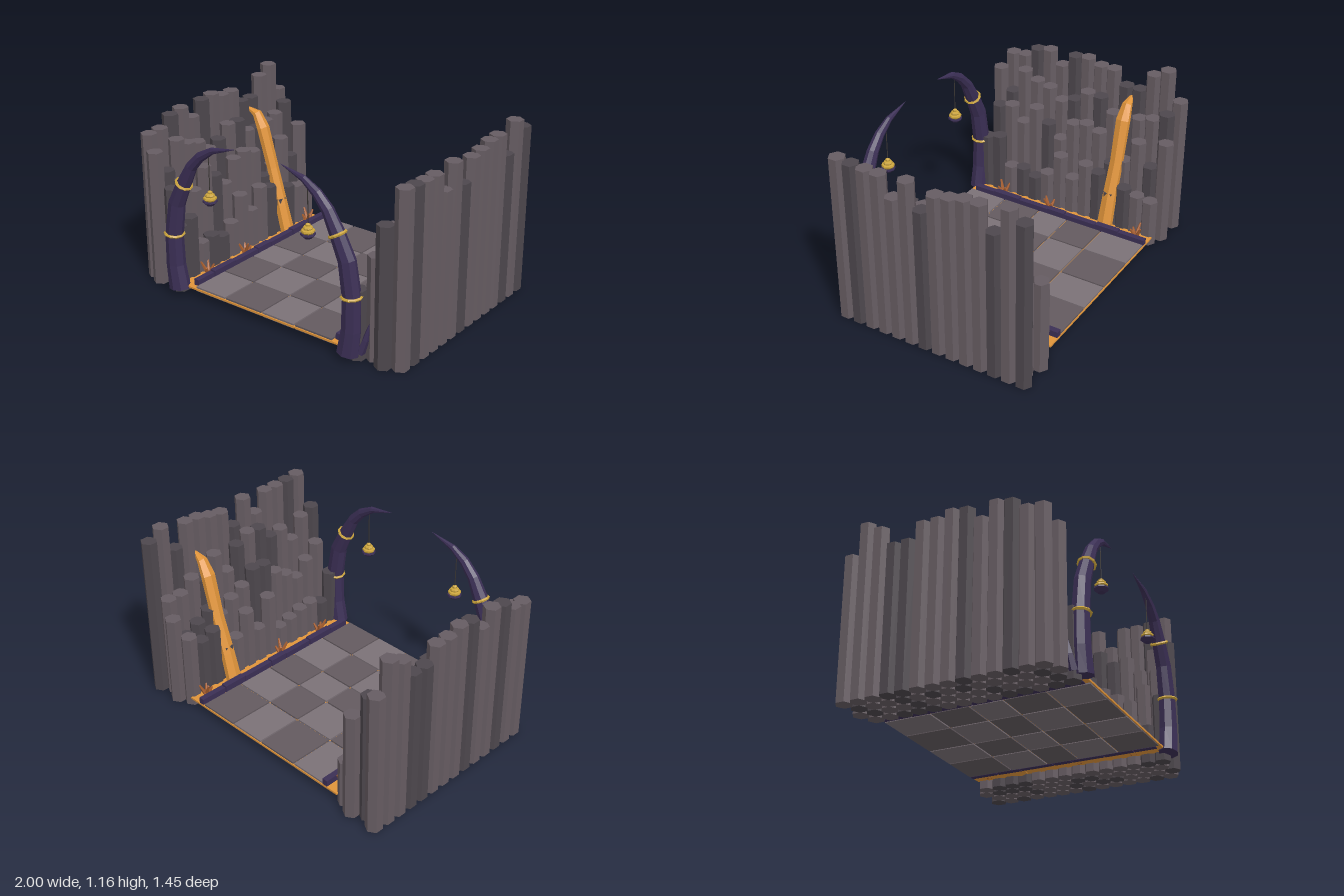
import * as THREE from 'three';

const mat = (color, extra = {}) => new THREE.MeshStandardMaterial({ color, flatShading: true, ...extra });

// Small seeded random generator
function seeded(seed) {
  let s = seed;
  return (a, b) => {
    s = (s * 16807) % 2147483647;
    return a + (b - a) * (s / 2147483647);
  };
}

// Sweep an ellipse along stations [x, y, z, radius in the xy plane, radius along z]
function sweep(stations, sides) {
  const pos = [], idx = [], Z = new THREE.Vector3(0, 0, 1);
  const pts = stations.map(s => new THREE.Vector3(s[0], s[1], s[2]));
  const last = pts.length - 1;
  pts.forEach((c, i) => {
    const t = pts[Math.min(i + 1, last)].clone().sub(pts[Math.max(i - 1, 0)]).setZ(0).normalize();
    const n = new THREE.Vector3().crossVectors(Z, t);
    for (let j = 0; j < sides; j++) {
      const a = (j / sides) * Math.PI * 2;
      const p = c.clone().addScaledVector(n, Math.cos(a) * stations[i][3]).addScaledVector(Z, Math.sin(a) * stations[i][4]);
      pos.push(p.x, p.y, p.z);
    }
  });
  const start = pos.length / 3, end = start + 1;
  pos.push(...pts[0].toArray(), ...pts[last].toArray());
  for (let j = 0; j < sides; j++) {
    const k = (j + 1) % sides;
    for (let i = 0; i < last; i++) {
      const a = i * sides + j, b = i * sides + k;
      idx.push(a, b, a + sides, b, b + sides, a + sides);
    }
    idx.push(start, k, j, end, last * sides + j, last * sides + k);
  }
  const g = new THREE.BufferGeometry();
  g.setAttribute('position', new THREE.Float32BufferAttribute(pos, 3));
  g.setIndex(idx);
  g.computeVertexNormals();
  return g;
}

export function createModel() {
  const root = new THREE.Group();
  const rand = seeded(4711);
  const M = {
    rock: mat(0x665c62), rockDark: mat(0x4d474d), tile: mat(0x7b7177), tileDark: mat(0x635a5f),
    purple: mat(0x3b2f55), gold: mat(0xcba43c), orange: mat(0xe0943a), ember: mat(0xa85f30), cord: mat(0x3a3634),
  };
  const add = (name, geo, material, x = 0, y = 0, z = 0, parent = root) => {
    const m = new THREE.Mesh(geo, material);
    m.name = name;
    m.position.set(x, y, z);
    parent.add(m);
    return m;
  };
  const box = (name, x0, x1, y0, y1, z0, z1, material, parent) =>
    add(name, new THREE.BoxGeometry(x1 - x0, y1 - y0, z1 - z0), material,
      (x0 + x1) / 2, (y0 + y1) / 2, (z0 + z1) / 2, parent);

  // Floor: glowing plate with stone tiles around it
  box('floorPlate', -0.655, 0.655, 0.054, 0.066, -0.67, 0.652, M.orange);
  const tiles = new THREE.Group();
  tiles.name = 'floorTiles';
  root.add(tiles);
  const tx = [-0.535, -0.29, 0, 0.25, 0.53], tz = [-0.67, -0.36, -0.105, 0.11, 0.38, 0.65], gap = 0.005;
  for (let i = 0; i < 4; i++) for (let j = 0; j < 5; j++)
    box('tile', tx[i] + gap, tx[i + 1] - gap, 0.046, 0.077, tz[j] + gap, tz[j + 1] - gap,
      (i + j) % 2 ? M.tileDark : M.tile, tiles);

  // Stepped walls of hexagonal stone columns, rows listed from the outside in
  const R = 0.0535, pitch = 0.095;
  const rightOuter = [1.095, 1.16, 0.975, 1.125, 1.12, 1.095, 1.08, 0.95, 1.11, 0.97, 1.095, 1.095, 1.1, 1.11];
  const rows = [
    { x: 0.9535, z: -0.67, low: 0.93, high: 1.1, cap: 0.95 },
    { x: 0.8655, z: -0.625, low: 0.7, high: 0.92, cap: 0.77 },
    { x: 0.7775, z: -0.67, low: 0.44, high: 0.72, cap: 0.56 },
    { x: 0.6895, z: -0.625, low: 0.22, high: 0.53, cap: 0.3 },
  ];
  for (const side of [-1, 1]) {
    const label = side > 0 ? 'left' : 'right';
    const wall = new THREE.Group();
    wall.name = label + 'ColumnWall';
    root.add(wall);
    rows.forEach((row, r) => {
      for (let i = 0; i < 14; i++) {
        const z = row.z + i * pitch;
        let h = rand(row.low, row.high);
        if (r === 0 && side > 0) h = rightOuter[i];
        else if (r === 0 && i === 1) h = 1.13;
        else if (Math.abs(z + 0.345) < 0.09) h = Math.min(h, row.cap);
        else if (r === 1 && i === 13) h = 0.885;
        add('column', new THREE.CylinderGeometry(R, R, h, 6), rand(0, 1) < 0.35 ? M.rockDark : M.rock,
          side * row.x, h / 2, z, wall);
      }
    });

    // Segmented curb along the floor
    const curb = new THREE.Group();
    curb.name = label + 'Curb';
    root.add(curb);
    const cuts = [-0.67, -0.48, -0.31, -0.08, 0.05, 0.27, 0.47, 0.62];
    for (let i = 0; i < 7; i++) {
      const w = 0.019 + (i % 2) * 0.002;
      box('curbBlock', side * 0.554 - w, side * 0.554 + w, 0.048, 0.106 + (i % 2) * 0.006,
        cuts[i] + 0.003, cuts[i + 1] - 0.003, M.purple, curb);
    }

    // Slanted glowing vein climbing over the columns
    add(label + 'Vein', sweep([
      [side * 0.605, 0.05, -0.345, 0.035, 0.056], [side * 0.66, 0.25, -0.345, 0.034, 0.05],
      [side * 0.735, 0.5, -0.35, 0.032, 0.046], [side * 0.81, 0.77, -0.345, 0.032, 0.05],
      [side * 0.86, 0.86, -0.345, 0.026, 0.036], [side * 0.935, 0.89, -0.338, 0.006, 0.012]], 6), M.orange);

    // Small ember shards beside the curb
    const shards = new THREE.Group();
    shards.name = label + 'EmberShards';
    root.add(shards);
    for (const z of [-0.57, 0.08, 0.44]) for (let k = 0; k < 4; k++) {
      const a = k * 1.7 + z * 5, h = 0.1 - k * 0.013;
      const shard = add('shard', new THREE.CylinderGeometry(0.006, 0.015, h, 5), M.ember,
        side * 0.618 + Math.cos(a) * 0.02, 0.06 + h * 0.42, z + Math.sin(a) * 0.025, shards);
      shard.rotation.set(Math.sin(a) * 0.45, 0, -Math.cos(a) * 0.45);
    }

    // Curved tusk with a short thorn at its foot
    add(label + 'Tusk', sweep([
      [side * 0.655, 0.04, 0.66, 0.072, 0.062], [side * 0.678, 0.2, 0.66, 0.062, 0.058],
      [side * 0.68, 0.4, 0.66, 0.058, 0.055], [side * 0.645, 0.62, 0.66, 0.056, 0.05],
      [side * 0.575, 0.77, 0.66, 0.048, 0.044], [side * 0.51, 0.89, 0.66, 0.037, 0.037],
      [side * 0.435, 0.97, 0.66, 0.031, 0.03], [side * 0.34, 1.03, 0.657, 0.021, 0.02],
      [side * 0.17, 1.075, 0.652, 0.001, 0.001]], 8), M.purple);
    add(label + 'Thorn', sweep([
      [side * 0.72, 0.05, 0.63, 0.03, 0.03], [side * 0.75, 0.14, 0.62, 0.022, 0.022],
      [side * 0.775, 0.26, 0.61, 0.001, 0.001]], 5), M.purple);

    // Gold bands on the tusk, tilted along its curve
    for (const [x, y, r, tilt] of [[0.679, 0.407, 0.058, 0.07], [0.579, 0.762, 0.049, 0.5]]) {
      const band = add(label + 'TuskBand', new THREE.TorusGeometry(r, 0.01, 5, 10), M.gold, side * x, y, 0.66);
      band.rotation.set(Math.PI / 2, side * tilt, 0, 'ZYX');
      band.rotation.set(0, 0, 0);
      band.quaternion.setFromAxisAngle(new THREE.Vector3(0, 0, 1), side * tilt)
        .multiply(new THREE.Quaternion().setFromAxisAngle(new THREE.Vector3(1, 0, 0), Math.PI / 2));
    }

    // Hanging lantern: cord, tiered cap and bowl
    const lantern = new THREE.Group();
    lantern.name = label + 'Lantern';
    lantern.position.set(side * 0.37, 0, 0.66);
    root.add(lantern);
    const lathe = pts => new THREE.LatheGeometry(pts.map(p => new THREE.Vector2(p[0], p[1])), 8);
    add('cord', new THREE.CylinderGeometry(0.003, 0.003, 0.25, 5), M.cord, 0, 0.885, 0, lantern);
    add('cap', lathe([[0, 0.7], [0.03, 0.705], [0.042, 0.72], [0.04, 0.73], [0.027, 0.734], [0.03, 0.742],
      [0.026, 0.75], [0.014, 0.754], [0.015, 0.764], [0, 0.774]]), M.gold, 0, 0, 0, lantern);
    add('bowl', lathe([[0, 0.674], [0.022, 0.678], [0.046, 0.7], [0.044, 0.71], [0, 0.708]]), M.purple, 0, 0, 0, lantern);
  }
  return root;
}
